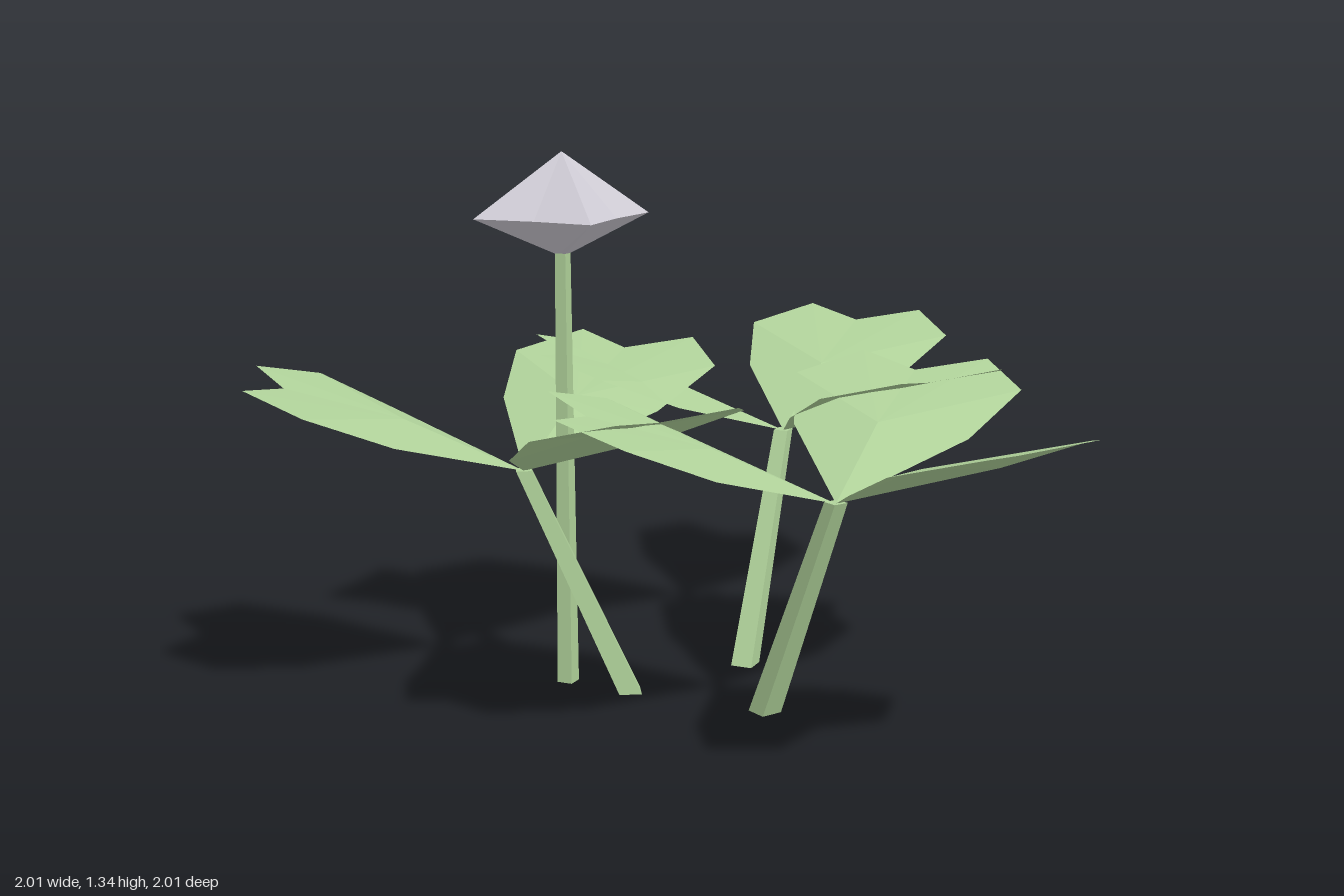
import * as THREE from 'three';

const green = new THREE.MeshStandardMaterial({ color: 0xb0d29a, side: THREE.DoubleSide });
green.name = 'leafGreen';
const lilac = new THREE.MeshStandardMaterial({ color: 0xcfccd5 });
lilac.name = 'petalLilac';

// Unshared corners give flat facets
function flat(points, faces) {
  const g = new THREE.BufferGeometry();
  g.setAttribute('position', new THREE.Float32BufferAttribute(faces.flat().flatMap(i => points[i]), 3));
  g.computeVertexNormals();
  return g;
}

function part(name, geometry, material) {
  const m = new THREE.Mesh(geometry, material);
  m.name = name;
  return m;
}

// Heart-shaped leaf rising along +x, a fan around a raised centre
function leafGeometry() {
  const half = [[0.30, 0.11, 0.22], [0.50, 0.198, 0.29], [0.645, 0.242, 0.163]];
  const rim = [[0, 0, 0], ...half, [0.566, 0.215, 0], ...half.map(([x, y, z]) => [x, y, -z]).reverse()];
  const n = rim.length;
  const faces = rim.map((_, i) => [n, i, (i + 1) % n]);
  return flat([...rim, [0.285, 0.135, 0]], faces);
}

// Square stem with level ends, leaning from x0 to x1
function stemGeometry(x0, x1, height, bottom, top) {
  const g = new THREE.CylinderGeometry(top * Math.SQRT2, bottom * Math.SQRT2, height, 4, 1);
  g.rotateY(Math.PI / 4);
  g.translate(0, height / 2, 0);
  const p = g.attributes.position;
  for (let i = 0; i < p.count; i++) p.setX(i, p.getX(i) + x0 + (x1 - x0) * p.getY(i) / height);
  const f = g.toNonIndexed();
  f.computeVertexNormals();
  return f;
}

// Four-pointed star, drawn to a peak above and a small point below
function flowerGeometry() {
  const pts = [];
  for (let i = 0; i < 8; i++) {
    const a = i * Math.PI / 4, r = i % 2 ? 0.146 : 0.222;
    pts.push([r * Math.cos(a), 0, -r * Math.sin(a)]);
  }
  for (let i = 0; i < 8; i++) {
    const a = i * Math.PI / 4, r = i % 2 ? 0.016 : 0.022;
    pts.push([r * Math.cos(a), -0.09, -r * Math.sin(a)]);
  }
  pts.push([0, 0.155, 0], [0, -0.09, 0]);
  const faces = [];
  for (let i = 0; i < 8; i++) {
    const j = (i + 1) % 8;
    faces.push([16, i, j], [i, 8 + i, j], [j, 8 + i, 8 + j], [17, 8 + j, 8 + i]);
  }
  return flat(pts, faces);
}

export function createModel() {
  const model = new THREE.Group();
  model.name = 'cloverPatch';
  const leafGeo = leafGeometry();
  const stemGeo = stemGeometry(0.21, 0.465, 0.575, 0.028, 0.019);

  // Three leaning sprigs around a common centre, three leaves each
  for (let s = 0; s < 3; s++) {
    const sprig = new THREE.Group();
    sprig.name = 'sprig' + (s + 1);
    sprig.position.set(0.1, 0, -0.107);
    sprig.rotation.y = Math.PI / 4 + s * Math.PI * 2 / 3;
    sprig.add(part('leafStem', stemGeo, green));
    for (let k = 0; k < 3; k++) {
      const leaf = part('leaf', leafGeo, green);
      leaf.position.set(0.465, 0.572, 0);
      leaf.rotation.y = k * Math.PI * 2 / 3;
      sprig.add(leaf);
    }
    model.add(sprig);
  }

  // Upright blossom
  const blossom = new THREE.Group();
  blossom.name = 'blossom';
  blossom.position.set(-0.222, 0, -0.293);
  const stem = part('flowerStem', stemGeometry(0, 0, 1.1, 0.02, 0.014), green);
  stem.rotation.y = Math.PI / 4;
  const flower = part('flower', flowerGeometry(), lilac);
  flower.position.y = 1.18;
  blossom.add(stem, flower);
  model.add(blossom);
  return model;
}
